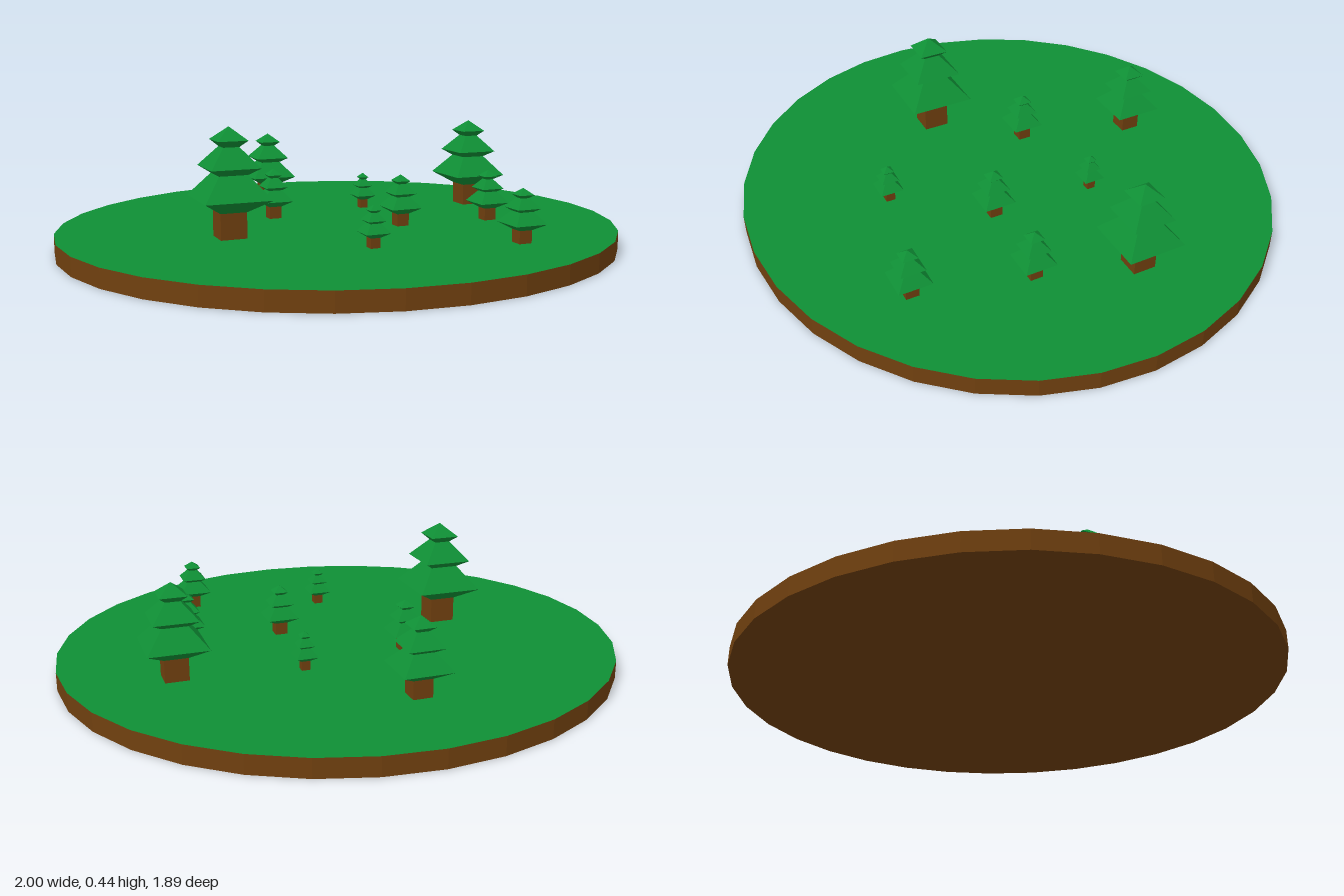
import * as THREE from 'three';

const GROUND = 0.065;

const green = new THREE.MeshStandardMaterial({ name: 'leafGreen', color: 0x0f8f35, flatShading: true });
const brown = new THREE.MeshStandardMaterial({ name: 'earthBrown', color: 0x70400f, flatShading: true });

// Three stacked tiers: [fraction of half-width, fraction of tree height]
const TIERS = [[0, 0.24], [0.4, 0.24], [1, 0.36], [0.43, 0.575], [0.74, 0.64], [0.24, 0.82], [0.45, 0.88], [0, 1]];

// Tree positions, foliage half-widths and heights
const TREES = [
  { x: -0.44, z: 0.1, half: 0.116, height: 0.375 },
  { x: 0.63, z: -0.17, half: 0.103, height: 0.33 },
  { x: -0.073, z: -0.568, half: 0.086, height: 0.267 },
  { x: -0.19, z: -0.17, half: 0.057, height: 0.182 },
  { x: 0.18, z: 0.137, half: 0.057, height: 0.182 },
  { x: 0.522, z: 0.163, half: 0.057, height: 0.182 },
  { x: 0.418, z: 0.555, half: 0.059, height: 0.182 },
  { x: 0.202, z: -0.238, half: 0.038, height: 0.135 },
  { x: -0.063, z: 0.433, half: 0.042, height: 0.14 },
];

function createTree({ x, z, half, height }) {
  const tree = new THREE.Group();
  tree.name = 'tree';
  tree.position.set(x, GROUND, z);

  // Square trunk
  const width = half * 0.79;
  const trunkHeight = height * 0.25;
  const trunk = new THREE.Mesh(new THREE.BoxGeometry(width, trunkHeight, width), brown);
  trunk.name = 'trunk';
  trunk.position.y = trunkHeight / 2;

  // Four-sided foliage, with its flat sides facing the axes
  const profile = TIERS.map(([r, h]) => new THREE.Vector2(r * half * Math.SQRT2, h * height));
  const foliage = new THREE.Mesh(new THREE.LatheGeometry(profile, 4, Math.PI / 4), green);
  foliage.name = 'foliage';

  tree.add(trunk, foliage);
  return tree;
}

export function createModel() {
  const model = new THREE.Group();
  model.name = 'forestIsland';

  // Slightly oval earth disc with a grass top
  const disc = new THREE.Mesh(new THREE.CylinderGeometry(1, 1, GROUND, 32), [brown, green, brown]);
  disc.name = 'ground';
  disc.scale.z = 0.945;
  disc.position.y = GROUND / 2;
  model.add(disc);

  for (const spec of TREES) model.add(createTree(spec));
  return model;
}
